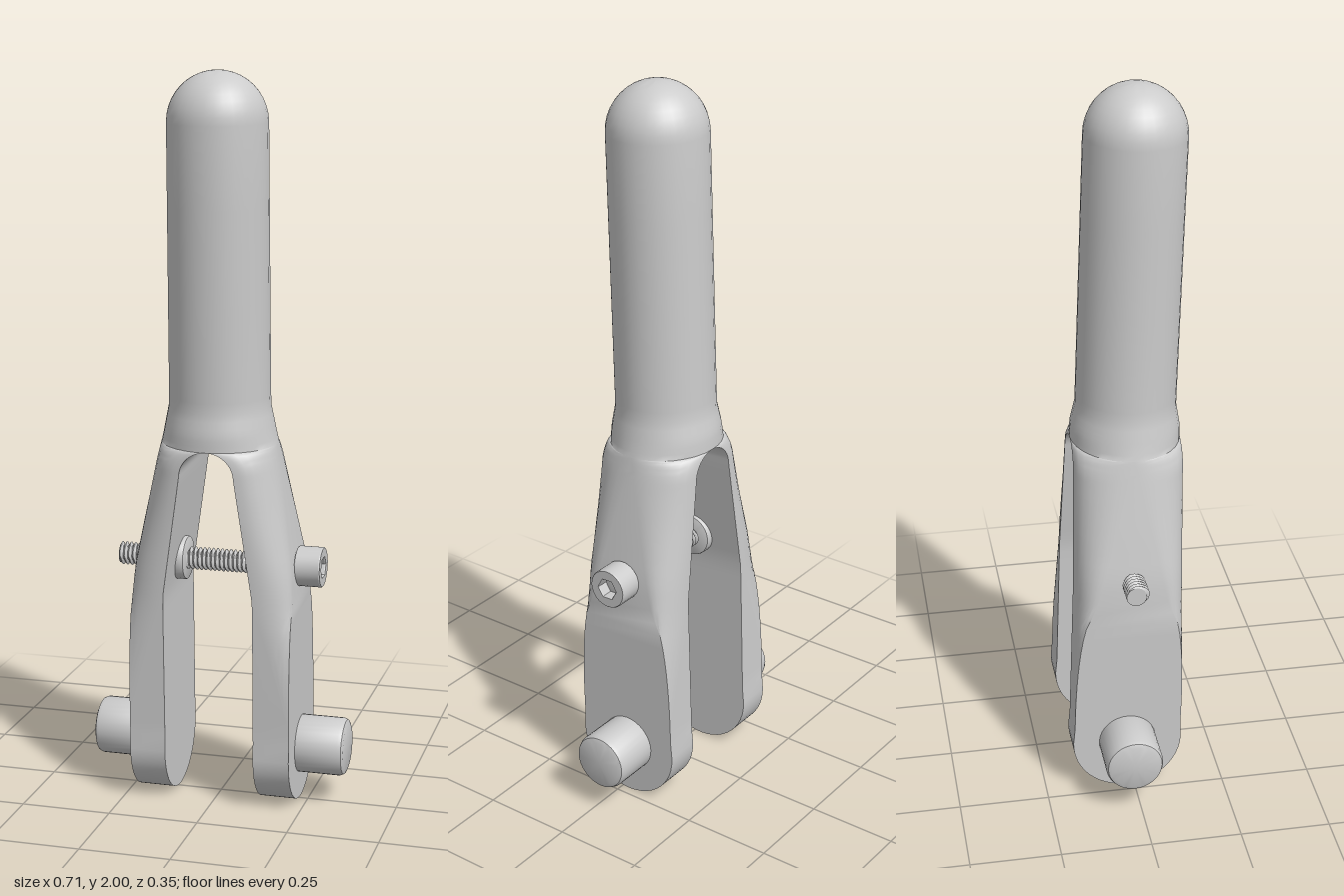
import * as THREE from 'three';
import { mergeGeometries, toCreasedNormals } from 'three/addons/utils/BufferGeometryUtils.js';

const TILT = 0.034, R_END = 0.153, ARCH = 0.94, ARCH_TOP = 1.01, FLAT = 0.225;
const grey = new THREE.MeshStandardMaterial({ color: 0xcccccc });

// Piecewise linear lookup in [[y, value], ...]
function lookup(table, y) {
  for (let i = 1; i < table.length; i++) {
    const [y0, v0] = table[i - 1], [y1, v1] = table[i];
    if (y <= y1) return v0 + (v1 - v0) * Math.max(0, (y - y0) / (y1 - y0));
  }
  return table[table.length - 1][1];
}

const outerX = [[0.25, 0.315], [0.57, 0.226], [0.67, 0.22], [0.8, 0.198], [1.01, 0.16], [1.04, 0.153], [1.07, 0.147], [1.11, 0.139], [1.14, 0.138], [1.87, 0.135]];
const depthZ = [[1.01, 0.15], [1.05, 0.149], [1.11, 0.137], [1.87, 0.135]];
const cornerX = [[0.57, 0.09], [0.8, 0.1], [1.01, 0.16]];
const cornerZ = [[0.57, 0.045], [0.8, 0.1], [1.01, 0.15]];
const innerX = [[0.6, 0.125], [ARCH, 0.075]];

// Right half of a horizontal section, running from the back round to the front
function halfSection(y) {
  let w = lookup(outerX, y), d = lookup(depthZ, y), xi = 0;
  if (y < ARCH) xi = lookup(innerX, y);
  else if (y < ARCH_TOP) xi = 0.075 * Math.sqrt(1 - ((y - ARCH) / (ARCH_TOP - ARCH)) ** 2);
  if (y < R_END) d = Math.sqrt(R_END ** 2 - (R_END - y) ** 2);
  if (y > 1.865) w = d = 0.135 * Math.sqrt(Math.max(0, 1 - ((y - 1.865) / 0.135) ** 2));
  const rx = y >= ARCH_TOP ? w : Math.min(lookup(cornerX, y), w - xi);
  const rz = y >= ARCH_TOP ? d : Math.min(lookup(cornerZ, y), d);
  // the rounded outside is cut off by a flat face at x = FLAT
  const a0 = w > FLAT ? Math.acos(Math.max(0, (FLAT - w + rx) / rx)) : 0;
  const front = [];
  for (let i = 0; i <= 8; i++) {
    const a = a0 + (Math.PI / 2 - a0) * i / 8;
    front.push([w - rx + rx * Math.cos(a), d - rz + rz * Math.sin(a)]);
  }
  front.push([xi, d]);
  return [...front.map(([x, z]) => [x, -z]).reverse(), ...front];
}
const mirrored = (pts) => pts.map(([x, z]) => [-x, z]).reverse();

// Skin over a stack of closed sections
function loft(levels, section) {
  const pos = [], index = [];
  let n = 0;
  levels.forEach((y, j) => {
    const ring = section(y);
    n = ring.length;
    ring.forEach(([x, z], i) => {
      pos.push(x, y, z);
      if (j === 0) return;
      const a = (j - 1) * n + i, b = (j - 1) * n + (i + 1) % n;
      index.push(a, a + n, b, b, a + n, b + n);
    });
  });
  const g = new THREE.BufferGeometry();
  g.setAttribute('position', new THREE.Float32BufferAttribute(pos, 3));
  g.setIndex(index);
  return g;
}

// Threaded rod along y: ridges follow a helix
function threadGeometry(length, rMin, rMax, pitch) {
  const g = new THREE.CylinderGeometry(rMax, rMax, length, 16, Math.round(length / pitch * 4));
  const p = g.attributes.position;
  for (let i = 0; i < p.count; i++) {
    const x = p.getX(i), z = p.getZ(i);
    if (Math.hypot(x, z) < 1e-6) continue;
    const t = p.getY(i) / pitch + Math.atan2(z, x) / (2 * Math.PI);
    const f = (rMin + (rMax - rMin) * Math.abs(2 * (t - Math.floor(t)) - 1)) / rMax;
    p.setX(i, x * f);
    p.setZ(i, z * f);
  }
  return toCreasedNormals(g, 0.5);
}

// Solid disc or pin with bevelled rims, axis along x from x0 to x1
function pinGeometry(r, x0, x1, bevel) {
  const b = bevel * 0.3;
  const profile = [[0, x0], [r - bevel, x0], [r - b, x0 + b], [r, x0 + bevel],
    [r, x1 - bevel], [r - b, x1 - b], [r - bevel, x1], [0, x1]];
  const g = new THREE.LatheGeometry(profile.map(([a, c]) => new THREE.Vector2(a, c)), 32);
  return toCreasedNormals(g.rotateZ(-Math.PI / 2), 0.7);
}

export function createModel() {
  const model = new THREE.Group();
  model.name = 'forkedHandle';
  const body = new THREE.Group();
  body.name = 'tiltedAssembly';
  body.rotation.x = TILT;
  body.position.z = -0.025;
  model.add(body);
  const add = (name, geometry, y = 0, x = 0) => {
    const m = new THREE.Mesh(geometry, grey);
    m.name = name;
    m.position.set(x, y, 0);
    body.add(m);
    return m;
  };

  // Fork arms, neck and domed grip in one smooth skin
  const armLevels = [], gripLevels = [1.01, 1.025, 1.04, 1.055, 1.07, 1.09, 1.11, 1.14, 1.4, 1.65];
  for (let i = 0; i <= 12; i++) armLevels.push(R_END * (1 - Math.cos(i / 12 * Math.PI / 2)));
  for (let y = 0.2; y < ARCH - 0.01; y += 0.037) armLevels.push(y);
  for (let i = 0; i <= 10; i++) {
    armLevels.push(ARCH + (ARCH_TOP - ARCH) * Math.sin(i / 10 * Math.PI / 2));
    gripLevels.push(1.865 + 0.135 * Math.sin(i / 10 * Math.PI / 2));
  }
  armLevels[armLevels.length - 1] = ARCH_TOP;
  add('forkAndGrip', toCreasedNormals(mergeGeometries([
    loft(armLevels, halfSection),
    loft(armLevels, (y) => mirrored(halfSection(y))),
    loft(gripLevels, (y) => {
      const half = halfSection(y);
      return [...half.slice(0, -1), ...mirrored(half).slice(0, -1)];
    }),
  ]), 0.6));

  // Pivot pins and clamp washers on both arms
  for (const [side, s] of [['left', 1], ['right', -1]]) {
    const span = (a, b) => (s > 0 ? [a, b] : [-b, -a]);
    add(side + 'PivotPin', pinGeometry(0.08, ...span(0.18, 0.357), 0.015), 0.155);
    add(side + 'Washer', pinGeometry(0.06, ...span(0.094, 0.135), 0.004), 0.67);
  }

  // Clamp screw: threaded shank, socket head and socket floor
  add('screwThread', threadGeometry(0.52, 0.022, 0.033, 0.0125), 0.67, -0.03).rotation.z = -Math.PI / 2;
  const head = new THREE.Shape().absarc(0, 0, 0.053, 0, Math.PI * 2);
  const hex = new THREE.Path();
  for (let i = 0; i < 6; i++) {
    const a = -i * Math.PI / 3, x = 0.031 * Math.cos(a), y = 0.031 * Math.sin(a);
    if (i) hex.lineTo(x, y); else hex.moveTo(x, y);
  }
  hex.closePath();
  head.holes.push(hex);
  const headGeometry = new THREE.ExtrudeGeometry(head, {
    depth: 0.064, curveSegments: 16, bevelSize: 0.002, bevelThickness: 0.003, bevelSegments: 1,
  });
  add('screwHead', toCreasedNormals(headGeometry.rotateY(Math.PI / 2), 0.5), 0.67, 0.22);
  add('socketFloor', pinGeometry(0.036, 0.22, 0.255, 0.002), 0.67);
  return model;
}
